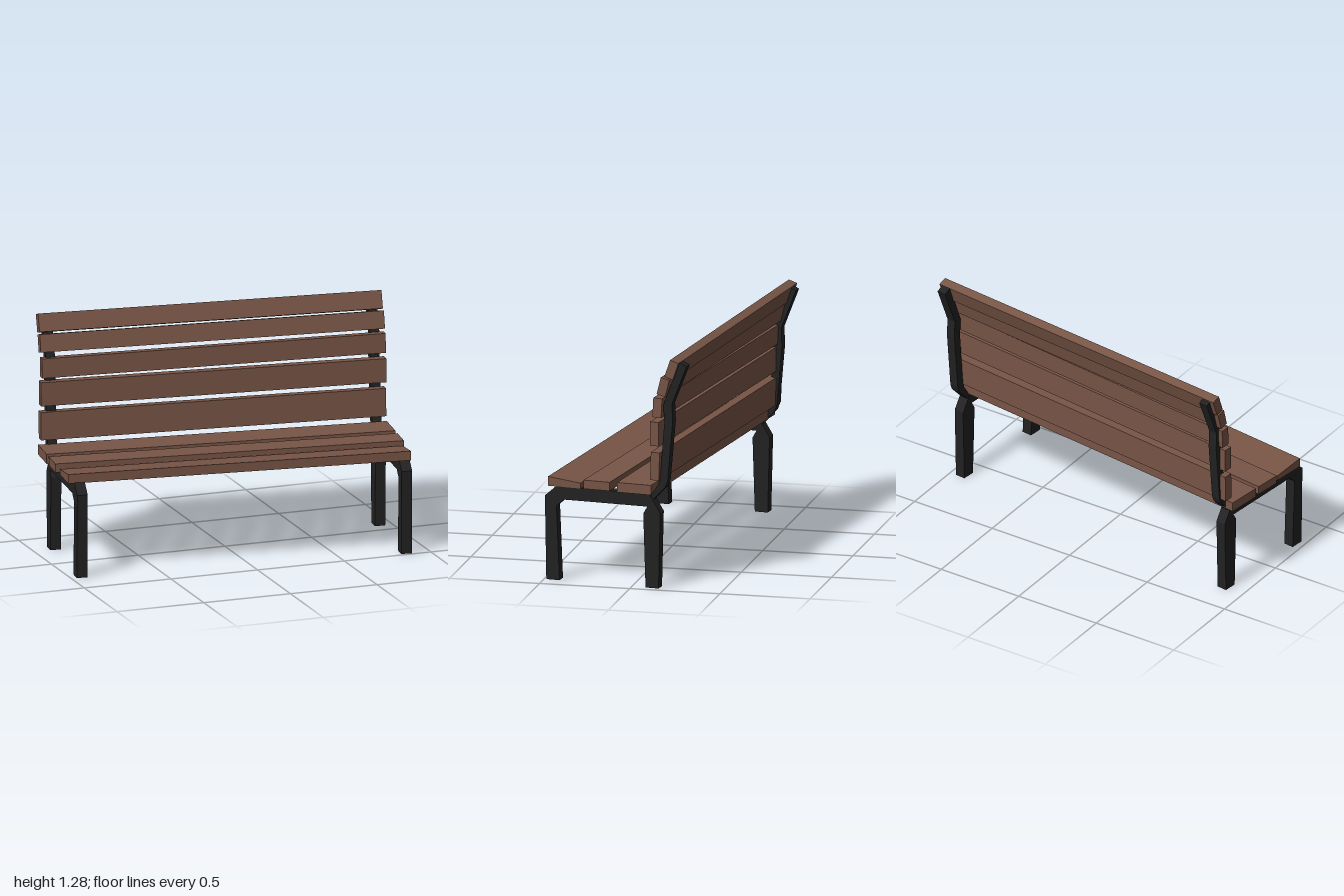
import * as THREE from 'three';

const wood = new THREE.MeshStandardMaterial({ color: 0x785546, flatShading: true });
const iron = new THREE.MeshStandardMaterial({ color: 0x222222, flatShading: true });

// Plank between the centres of its two ends; pitch tilts it about its length
function plank(name, right, left, height, depth, pitch = 0, taper = 0) {
  const a = new THREE.Vector3(...left), b = new THREE.Vector3(...right);
  const d = b.clone().sub(a);
  const geo = new THREE.BoxGeometry(d.length(), height, depth);
  const p = geo.attributes.position;
  for (let i = 0; i < p.count; i++) {
    if (p.getY(i) > 0 && p.getZ(i) < 0) p.setY(i, p.getY(i) - taper);
  }
  geo.computeVertexNormals();
  const mesh = new THREE.Mesh(geo, wood);
  mesh.name = name;
  mesh.position.copy(a).add(b).multiplyScalar(0.5);
  mesh.rotation.set(pitch, -Math.atan2(d.z, d.x), Math.asin(d.y / d.length()), 'YZX');
  return mesh;
}

// Side profile given as [z, y] points, extruded to a thickness along x
function bar(name, points, thickness) {
  const shape = new THREE.Shape(points.map(([z, y]) => new THREE.Vector2(z, y)));
  const geo = new THREE.ExtrudeGeometry(shape, { depth: thickness, bevelEnabled: false });
  geo.translate(0, 0, -thickness / 2);
  geo.rotateY(-Math.PI / 2);
  const mesh = new THREE.Mesh(geo, iron);
  mesh.name = name;
  return mesh;
}

const legProfile = [
  [0.40, 0], [0.408, 0.465], [0.345, 0.52], [-0.19, 0.52], [-0.252, 0.42], [-0.242, 0],
  [-0.168, 0], [-0.155, 0.41], [-0.178, 0.45], [0.30, 0.45], [0.342, 0.41], [0.325, 0],
];
const supportProfile = [
  [-0.19, 0.50], [-0.24, 0.58], [-0.252, 0.64], [-0.275, 0.93], [-0.268, 1.02], [-0.36, 1.265],
  [-0.402, 1.245], [-0.318, 1.03], [-0.322, 0.93], [-0.293, 0.60], [-0.28, 0.565], [-0.228, 0.51], [-0.21, 0.49],
];

export function createModel() {
  const bench = new THREE.Group();
  bench.name = 'bench';

  // Iron side frames, standing slightly turned
  for (const [name, x, z] of [['leftFrame', 0.908, 0.087], ['rightFrame', -0.897, -0.09]]) {
    const frame = new THREE.Group();
    frame.name = name;
    frame.add(bar('legs', legProfile, 0.058), bar('backSupport', supportProfile, 0.052));
    frame.position.set(x, 0, z);
    frame.rotation.y = -0.107;
    bench.add(frame);
  }

  // Seat planks, front to back
  bench.add(
    plank('seatSlatFront', [0.905, 0.545, 0.385], [-0.985, 0.542, 0.153], 0.052, 0.188, 0, 0.022),
    plank('seatSlatMiddle', [0.94, 0.547, 0.198], [-0.98, 0.545, -0.045], 0.048, 0.15),
    plank('seatSlatBack', [0.965, 0.547, -0.015], [-0.96, 0.547, -0.245], 0.054, 0.195),
  );

  // Backrest planks, bottom to top: end centres, height and lean
  const backSlats = [
    [[0.975, 0.68, -0.133], [-0.932, 0.676, -0.358], 0.155, -0.03],
    [[0.975, 0.86, -0.13], [-0.93, 0.855, -0.36], 0.133, 0],
    [[0.978, 1.007, -0.147], [-0.92, 0.995, -0.37], 0.108, -0.05],
    [[0.983, 1.125, -0.18], [-0.92, 1.124, -0.398], 0.098, -0.25],
    [[0.988, 1.224, -0.228], [-0.915, 1.228, -0.435], 0.1, -0.33],
  ];
  backSlats.forEach(([r, l, h, lean], i) => bench.add(plank(`backSlat${i + 1}`, r, l, h, 0.05, lean)));

  return bench;
}
